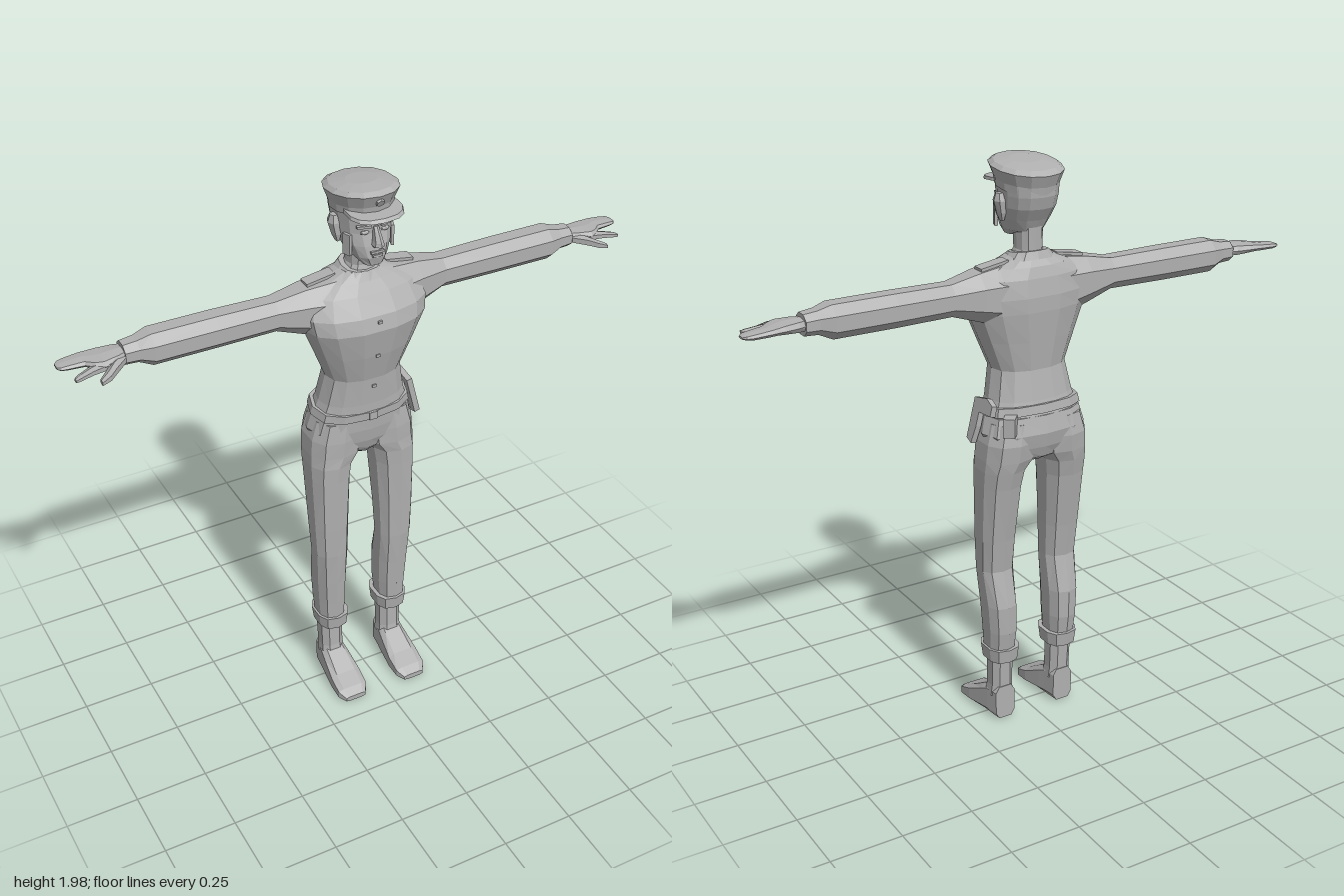
import * as THREE from 'three';

const grey = new THREE.MeshStandardMaterial({ color: 0xb0b0b0, flatShading: true });
grey.name = 'plain grey';

// Skins a list of rings (equal point counts) and caps both ends, facing outwards.
function skin(rings) {
  const n = rings[0].length, pos = [], idx = [];
  rings.forEach(r => r.forEach(p => pos.push(p.x, p.y, p.z)));
  for (let i = 0; i < rings.length - 1; i++)
    for (let j = 0; j < n; j++) {
      const a = i * n + j, b = i * n + (j + 1) % n;
      idx.push(a, b, b + n, a, b + n, a + n);
    }
  const last = (rings.length - 1) * n;
  for (let j = 1; j < n - 1; j++) idx.push(0, j + 1, j, last, last + j, last + j + 1);
  const v = k => new THREE.Vector3().fromArray(pos, idx[k] * 3);
  let volume = 0;
  for (let k = 0; k < idx.length; k += 3) volume += v(k).dot(v(k + 1).cross(v(k + 2)));
  if (volume < 0) idx.reverse();
  const g = new THREE.BufferGeometry();
  g.setAttribute('position', new THREE.Float32BufferAttribute(pos, 3));
  g.setIndex(idx);
  g.computeVertexNormals();
  return g;
}

// Rows are [t, uMin, uMax, vMin, vMax]; t runs along the axis. Low power = boxier.
function loft(axis, rows, { sides = 12, power = 0.8, side = 1, turn = 0 } = {}) {
  return skin(rows.map(([t, u0, u1, v0, v1]) => Array.from({ length: sides }, (_, j) => {
    const a = (j + turn) / sides * Math.PI * 2;
    const bend = c => Math.sign(c) * Math.abs(c) ** power;
    const u = (u0 + u1) / 2 + bend(Math.cos(a)) * (u1 - u0) / 2;
    const v = (v0 + v1) / 2 + bend(Math.sin(a)) * (v1 - v0) / 2;
    const p = axis === 'y' ? [u, t, v] : axis === 'x' ? [t, u, v] : [u, v, t];
    return new THREE.Vector3(p[0] * side, p[1], p[2]);
  })));
}

// Symmetric rows: [y, halfWidth, zBack, zFront]
const even = rows => rows.map(([y, w, b, f]) => [y, -w, w, b, f]);

// Slopes a geometry: y rises with z by the given slope.
function tilt(g, slope) {
  const p = g.attributes.position;
  for (let i = 0; i < p.count; i++) p.setY(i, p.getY(i) + p.getZ(i) * slope);
  g.computeVertexNormals();
  return g;
}

export function createModel() {
  const model = new THREE.Group();
  const add = (name, geometry, x = 0, y = 0, z = 0, rx = 0, ry = 0, rz = 0) => {
    const m = new THREE.Mesh(geometry, grey);
    m.name = name;
    m.position.set(x, y, z);
    m.rotation.set(rx, ry, rz);
    model.add(m);
    return m;
  };
  const box = (w, h, d) => new THREE.BoxGeometry(w, h, d);

  // Jacket, neck and collar
  add('jacket', loft('y', even([
    [1.15, 0.17, -0.14, 0.072], [1.2, 0.152, -0.128, 0.073], [1.3, 0.132, -0.11, 0.08],
    [1.4, 0.172, -0.12, 0.105], [1.5, 0.212, -0.13, 0.125], [1.55, 0.22, -0.13, 0.112],
    [1.61, 0.2, -0.12, 0.072], [1.645, 0.14, -0.108, 0.048], [1.672, 0.072, -0.085, 0.032],
  ]), { power: 0.85, sides: 14 }));
  add('neck', loft('y', even([
    [1.64, 0.07, -0.085, 0.035], [1.69, 0.043, -0.075, 0.02], [1.78, 0.043, -0.078, 0.03],
  ])));
  add('collar', tilt(loft('y', even([
    [1.65, 0.09, -0.095, 0.048], [1.678, 0.064, -0.085, 0.033],
  ])), -0.15));
  for (const [y, z] of [[1.53, 0.115], [1.4, 0.102], [1.27, 0.076]])
    add('button', box(0.014, 0.01, 0.01), 0, y, z);

  // Trouser seat, belt and buckle
  add('trouserSeat', loft('y', even([
    [0.975, 0.03, -0.09, 0.02], [1.0, 0.09, -0.13, 0.04], [1.04, 0.165, -0.145, 0.054],
    [1.09, 0.188, -0.155, 0.062], [1.15, 0.172, -0.142, 0.066],
  ]), { power: 0.75 }));
  add('belt', tilt(loft('y', even([
    [1.145, 0.178, -0.146, 0.075], [1.175, 0.171, -0.141, 0.077],
  ])), -0.1));
  add('buckle', box(0.03, 0.028, 0.01), 0, 1.153, 0.074);

  // Holstered sidearm on the left hip, pouch behind it
  const sidearm = new THREE.Shape([[-0.012, 1.2], [-0.012, 1.06], [0.02, 1.05], [0.03, 1.11], [0.03, 1.16],
    [0.1, 1.165], [0.1, 1.2], [0.06, 1.215]].map(([z, y]) => new THREE.Vector2(z, y - 1.13)));
  add('holster', new THREE.ExtrudeGeometry(sidearm, { depth: 0.02, bevelEnabled: false }), 0.18, 1.13, -0.005)
    .rotation.set(0, Math.PI / 2, 0.24, 'ZYX');
  add('pouch', box(0.06, 0.065, 0.04), 0.13, 1.135, -0.132, 0, -0.7 + Math.PI / 2, 0);

  for (const s of [1, -1]) {
    const o = { side: s };
    const label = s > 0 ? 'left' : 'right';

    // Sleeve and cuff end
    add(label + 'Sleeve', loft('x', [
      [0.1, 1.44, 1.66, -0.115, 0.07], [0.2, 1.475, 1.645, -0.11, 0.045],
      [0.3, 1.51, 1.622, -0.095, 0.02], [0.5, 1.508, 1.625, -0.1, 0.022],
      [0.71, 1.508, 1.625, -0.1, 0.022], [0.755, 1.53, 1.61, -0.085, 0.008],
      [0.8, 1.532, 1.605, -0.08, 0.003],
    ], { ...o, sides: 8, turn: 0.5, power: 0.9 }));

    // Hand: palm with mitten fingers, index finger and thumb
    add(label + 'Palm', loft('x', [
      [0.78, 1.55, 1.59, -0.065, -0.012], [0.82, 1.55, 1.59, -0.08, 0.008],
      [0.87, 1.555, 1.587, -0.09, 0.02], [0.895, 1.558, 1.584, -0.092, 0.008],
      [0.92, 1.558, 1.582, -0.092, -0.018], [0.97, 1.558, 1.577, -0.09, -0.026],
      [0.99, 1.56, 1.574, -0.085, -0.03], [1.0, 1.563, 1.57, -0.073, -0.042],
    ], { ...o, sides: 8, power: 0.7 }));
    add(label + 'IndexFinger', loft('x', [
      [0.85, 1.55, 1.58, -0.03, 0.018], [0.91, 1.55, 1.573, -0.012, 0.024],
      [0.955, 1.548, 1.564, 0.004, 0.032], [0.968, 1.548, 1.56, 0.014, 0.032],
    ], { ...o, sides: 6 }));
    add(label + 'Thumb', loft('x', [
      [0.8, 1.55, 1.58, -0.04, 0.005], [0.84, 1.545, 1.578, -0.01, 0.04],
      [0.87, 1.54, 1.568, 0.02, 0.063], [0.9, 1.538, 1.555, 0.045, 0.07],
    ], { ...o, sides: 6 }));

    // Shoulder board
    add(label + 'ShoulderBoard', box(0.1, 0.01, 0.045), s * 0.14, 1.654, -0.035, 0, 0, -s * 0.16);

    // Trouser leg, turned-up hem, ankle
    add(label + 'Leg', loft('y', [
      [0.25, 0.075, 0.168, -0.09, 0.028], [0.35, 0.068, 0.174, -0.105, 0.034],
      [0.45, 0.066, 0.18, -0.105, 0.04], [0.58, 0.064, 0.187, -0.075, 0.048],
      [0.7, 0.06, 0.192, -0.09, 0.052], [0.9, 0.049, 0.197, -0.12, 0.056],
      [0.96, 0.04, 0.198, -0.133, 0.058], [1.0, 0.008, 0.197, -0.143, 0.058],
      [1.06, 0.004, 0.192, -0.15, 0.059], [1.13, 0.004, 0.172, -0.14, 0.055],
    ], { ...o, power: 0.8, sides: 10, turn: 0.5 }));
    add(label + 'Hem', loft('y', [
      [0.235, 0.064, 0.172, -0.1, 0.034], [0.285, 0.058, 0.178, -0.106, 0.04],
    ], { ...o, sides: 10, turn: 0.5, power: 0.75 }));
    add(label + 'Ankle', loft('y', [
      [0.09, 0.072, 0.166, -0.07, 0.015], [0.13, 0.076, 0.162, -0.072, 0.008],
      [0.25, 0.076, 0.164, -0.078, 0.005],
    ], { ...o, sides: 8, turn: 0.5, power: 0.8 }));

    // Shoe, from heel to toe
    add(label + 'Shoe', loft('z', [
      [-0.072, 0.08, 0.158, 0, 0.13], [-0.02, 0.073, 0.166, 0, 0.13],
      [0.015, 0.068, 0.17, 0, 0.11], [0.09, 0.06, 0.178, 0, 0.065],
      [0.145, 0.062, 0.178, 0, 0.04], [0.173, 0.08, 0.16, 0, 0.02],
    ], { ...o, sides: 8, turn: 0.5, power: 0.5 }));

    // Ear, cheek plate, eye and brow
    add(label + 'Ear', loft('y', [
      [1.785, 0.08, 0.093, -0.02, 0.005], [1.81, 0.075, 0.105, -0.03, 0.012],
      [1.85, 0.075, 0.116, -0.036, 0.014], [1.875, 0.08, 0.108, -0.025, 0.005],
    ], { ...o, sides: 6 }));
    add(label + 'CheekPlate', box(0.01, 0.07, 0.03), s * 0.078, 1.792, 0.045, 0, -s * 0.35, 0);
    add(label + 'Eye', new THREE.SphereGeometry(0.014, 8, 6), s * 0.035, 1.836, 0.078).scale.set(1.2, 0.5, 0.5);
    add(label + 'Brow', box(0.045, 0.008, 0.014), s * 0.038, 1.856, 0.078, 0, s * 0.25, 0);
  }

  // Head and facial features
  add('head', loft('y', even([
    [1.722, 0.034, 0.02, 0.09], [1.75, 0.06, -0.07, 0.098], [1.79, 0.078, -0.09, 0.093],
    [1.83, 0.087, -0.115, 0.084], [1.87, 0.091, -0.127, 0.086], [1.92, 0.095, -0.13, 0.09],
  ]), { power: 0.85, sides: 14, turn: 0.5 }));
  add('nose', loft('y', even([
    [1.785, 0.012, 0.07, 0.1], [1.795, 0.019, 0.07, 0.124], [1.808, 0.015, 0.07, 0.122],
    [1.855, 0.009, 0.07, 0.092],
  ]), { sides: 6, turn: 0.5 }));
  add('upperLip', box(0.045, 0.008, 0.012), 0, 1.77, 0.093);
  add('lowerLip', box(0.034, 0.008, 0.012), 0, 1.758, 0.094);

  // Peaked cap, tipped slightly to the back
  add('cap', tilt(loft('y', even([
    [1.89, 0.097, -0.128, 0.096], [1.915, 0.1, -0.132, 0.1], [1.955, 0.115, -0.148, 0.12],
    [1.967, 0.1, -0.125, 0.1], [1.975, 0.05, -0.06, 0.04],
  ]), { power: 0.95, sides: 14, turn: 0.5 }), 0.1));
  add('capPeak', tilt(loft('y', [
    [1.904, -0.092, 0.092, -0.01, 0.15], [1.914, -0.09, 0.09, -0.01, 0.142],
  ], { power: 0.8, sides: 14, turn: 0.5 }), -0.07));
  add('capBadge', new THREE.CylinderGeometry(0.014, 0.014, 0.008, 6), 0, 1.943, 0.112, Math.PI / 2 + 0.5);

  return model;
}
